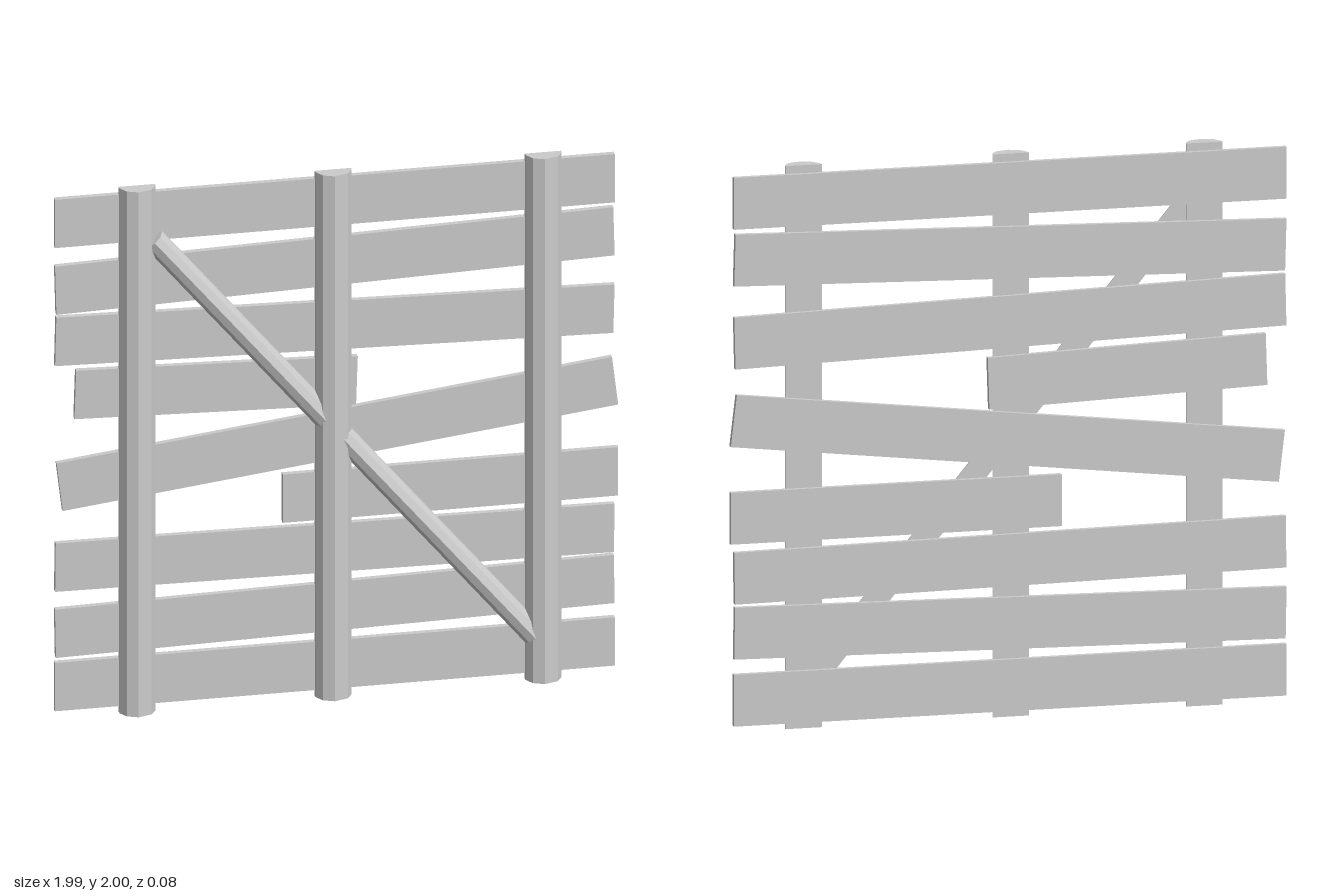
import * as THREE from 'three';

const material = new THREE.MeshStandardMaterial({ color: 0xcccccc, flatShading: true });

// Half-log bar running from a to b in the xy plane; profile is a list of [x, z].
function bar(name, profile, a, b) {
  const dx = b[0] - a[0], dy = b[1] - a[1];
  const shape = new THREE.Shape(profile.map(([x, z]) => new THREE.Vector2(x, -z)));
  const geometry = new THREE.ExtrudeGeometry(shape, { depth: Math.hypot(dx, dy), bevelEnabled: false });
  geometry.rotateX(-Math.PI / 2);
  const mesh = new THREE.Mesh(geometry, material);
  mesh.name = name;
  mesh.position.set(a[0], a[1], 0);
  mesh.rotation.z = Math.atan2(-dx, dy);
  return mesh;
}

// Flat plank whose centre line runs from (x0, y0) to (x1, y1).
function plank(name, [x0, y0, x1, y1]) {
  const dx = x1 - x0, dy = y1 - y0;
  const mesh = new THREE.Mesh(new THREE.BoxGeometry(Math.hypot(dx, dy), 0.184, 0.021), material);
  mesh.name = name;
  mesh.position.set((x0 + x1) / 2, (y0 + y1) / 2, -0.0285);
  mesh.rotation.z = Math.atan2(dy, dx);
  return mesh;
}

export function createModel() {
  const model = new THREE.Group();
  model.name = 'plankFence';

  // Upright posts, rounded towards the front
  const postProfile = [[-0.065, -0.022], [-0.063, -0.008], [-0.044, 0.022], [-0.005, 0.038],
    [0.044, 0.022], [0.063, -0.008], [0.065, -0.022]];
  [-0.71, -0.017, 0.725].forEach((x, i) =>
    model.add(bar(`post${i + 1}`, postProfile, [x, 0], [x, 2])));

  // Diagonal brace passing through the middle post
  const braceProfile = [[-0.042, -0.019], [-0.04, -0.008], [-0.027, 0.015], [0, 0.027],
    [0.027, 0.015], [0.04, -0.008], [0.042, -0.019]];
  model.add(bar('diagonalBrace', braceProfile, [0.69, 0.17], [-0.655, 1.795]));

  // Planks across the back, some crooked and some broken short
  const planks = [
    [-1, 1.88, 0.978, 1.88],
    [-0.997, 1.625, 0.975, 1.678],
    [-0.997, 1.43, 0.975, 1.383],
    [-0.928, 1.222, 0.067, 1.19],
    [-0.983, 0.875, 0.979, 1.108],
    [-0.195, 0.762, 0.99, 0.762],
    [-0.998, 0.57, 0.976, 0.548],
    [-0.998, 0.318, 0.976, 0.353],
    [-1, 0.115, 0.978, 0.115],
  ];
  planks.forEach((p, i) => model.add(plank(`plank${i + 1}`, p)));

  return model;
}
